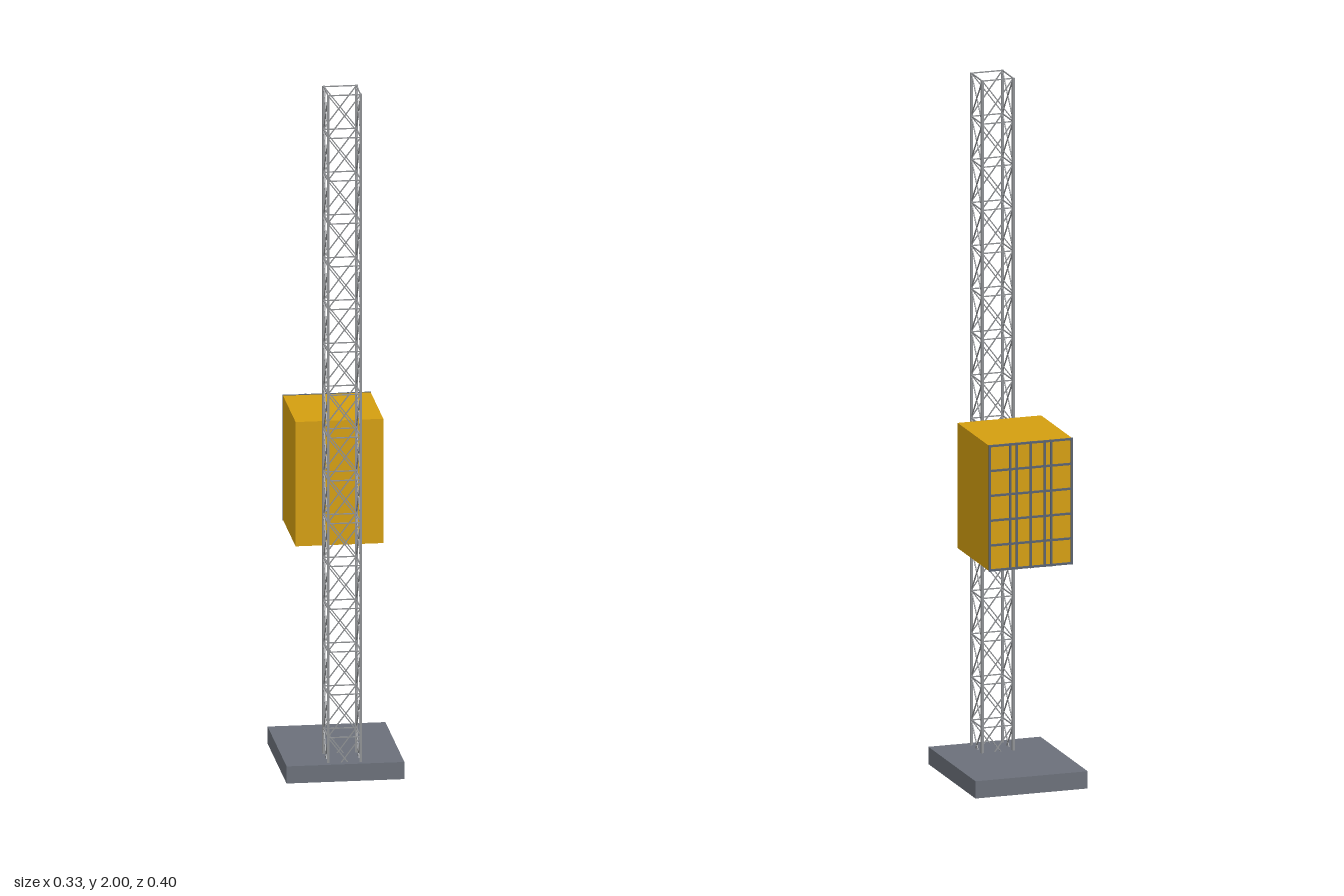
import * as THREE from 'three';

const mat = (name, color) => {
  const m = new THREE.MeshStandardMaterial({ color });
  m.name = name;
  return m;
};

export function createModel() {
  const model = new THREE.Group();
  model.name = 'mastHoist';
  const concrete = mat('concrete grey', 0x6b707a);
  const steel = mat('mast steel', 0x8f9194);
  const yellow = mat('cabin yellow', 0xd49e10);
  const gateSteel = mat('gate slate', 0x596270);

  const box = (parent, name, w, h, d, x, y, z, material) => {
    const mesh = new THREE.Mesh(new THREE.BoxGeometry(w, h, d), material);
    mesh.name = name;
    mesh.position.set(x, y, z);
    parent.add(mesh);
    return mesh;
  };

  // Square bar between two points
  const up = new THREE.Vector3(0, 1, 0);
  const bar = (parent, name, a, b, t) => {
    const dir = b.clone().sub(a);
    const mid = a.clone().add(b).multiplyScalar(0.5);
    const mesh = box(parent, name, t, dir.length(), t, mid.x, mid.y, mid.z, steel);
    mesh.quaternion.setFromUnitVectors(up, dir.normalize());
  };

  // Foundation slab
  box(model, 'baseSlab', 0.333, 0.05, 0.4, 0, 0.026, 0, concrete);

  // Lattice mast: four posts, with rings and crossed braces in every bay
  const mast = new THREE.Group();
  mast.name = 'mast';
  model.add(mast);
  const half = 0.046, zMid = 0.1325, bays = 16, bayHeight = 0.125;
  const corners = [[1, 1], [1, -1], [-1, -1], [-1, 1]];
  const point = (i, y) => {
    const [sx, sz] = corners[i % 4];
    return new THREE.Vector3(sx * half, y, zMid + sz * half);
  };
  corners.forEach(([sx, sz]) => {
    const t = sz < 0 ? 0.008 : 0.007;
    box(mast, 'mastPost', t, 2, t, sx * half, 1, zMid + sz * half, steel);
  });
  for (let b = 0; b < bays; b++) {
    const y0 = b * bayHeight, y1 = y0 + bayHeight - 0.0015;
    for (let i = 0; i < 4; i++) {
      bar(mast, 'ringBar', point(i, y1), point(i + 1, y1), 0.003);
      bar(mast, 'diagonalBrace', point(i, y0 + 0.002), point(i + 1, y1), 0.003);
      bar(mast, 'diagonalBrace', point(i + 1, y0 + 0.002), point(i, y1), 0.003);
    }
  }

  // Lift cabin
  const w = 0.248, h = 0.363, cy = 0.8365;
  box(model, 'cabin', w, h, 0.264, 0, cy, -0.059, yellow);

  // Barred gate on the back of the cabin
  const gate = new THREE.Group();
  gate.name = 'gate';
  model.add(gate);
  for (const f of [0, 0.25, 0.33, 0.5, 0.67, 0.75, 1]) {
    box(gate, 'gateUpright', 0.006, h + 0.004, 0.005, (f - 0.5) * (w - 0.005), cy, -0.1935, gateSteel);
  }
  for (let i = 0; i <= 5; i++) {
    box(gate, 'gateRail', w + 0.001, 0.006, 0.004, 0, cy + (i / 5 - 0.5) * (h - 0.003), -0.193, gateSteel);
  }
  return model;
}
